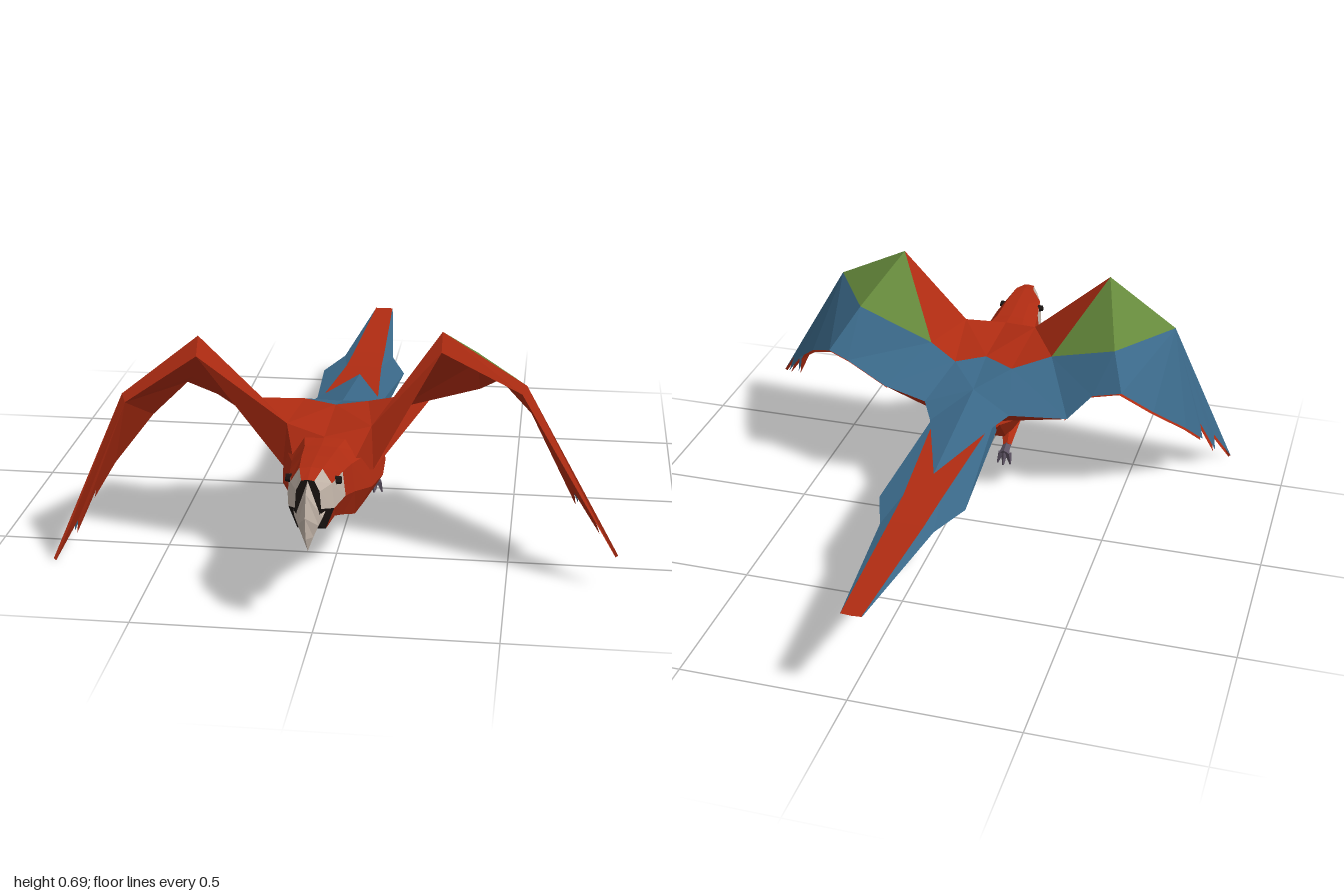
import * as THREE from 'three';

const RED = 0xb02c12, BLUE = 0x3a6888, GREEN = 0x668a3c, CREAM = 0xc4b6aa, BLACK = 0x1a1412, GREY = 0x5c5262;
const CX = -0.017; // centre line of the body

// Flat-shaded mesh from polygons, each a loop of [x, y, z] corners
function panels(name, color, polys, side = THREE.DoubleSide) {
  const pos = [];
  for (const p of polys)
    for (let i = 1; i < p.length - 1; i++) pos.push(...p[0], ...p[i], ...p[i + 1]);
  const g = new THREE.BufferGeometry();
  g.setAttribute('position', new THREE.Float32BufferAttribute(pos, 3));
  g.computeVertexNormals();
  const m = new THREE.Mesh(g, new THREE.MeshStandardMaterial({ color, flatShading: true, side }));
  m.name = name;
  return m;
}

// Tapered rod between two points
function rod(name, color, a, b, ra, rb, sides = 5) {
  const A = new THREE.Vector3(...a), B = new THREE.Vector3(...b), d = B.clone().sub(A);
  const m = new THREE.Mesh(
    new THREE.CylinderGeometry(rb, ra, d.length(), sides),
    new THREE.MeshStandardMaterial({ color, flatShading: true }));
  m.position.copy(A).addScaledVector(d, 0.5);
  m.quaternion.setFromUnitVectors(new THREE.Vector3(0, 1, 0), d.normalize());
  m.name = name;
  return m;
}

const shift = (p, x, y, z) => [p[0] + x, p[1] + y, p[2] + z];

function makeBody() {
  const g = new THREE.Group();
  g.name = 'body';
  // z, top, bottom, half width, from the face back to the rump
  const rings = [
    [0.94, 0.415, 0.29, 0.035], [0.88, 0.427, 0.25, 0.062], [0.78, 0.42, 0.245, 0.08],
    [0.68, 0.41, 0.205, 0.093], [0.57, 0.408, 0.16, 0.128], [0.45, 0.40, 0.145, 0.147],
    [0.31, 0.375, 0.145, 0.14], [0.17, 0.34, 0.225, 0.1], [0.02, 0.3, 0.25, 0.06]];
  const half = [[0, 1], [0.5, 0.98], [0.9, 0.75], [1, 0.35], [0.62, 0]];
  const profile = [...half, ...half.slice(1).reverse().map(([u, v]) => [-u, v])];
  const n = profile.length;
  const pts = rings.map(([z, t, b, w]) => profile.map(([u, v]) => [CX + u * w, b + v * (t - b), z]));
  const red = [], cream = [], black = [[...pts[0]].reverse()];
  for (let i = 0; i < rings.length - 1; i++)
    for (let j = 0; j < n; j++) {
      const k = (j + 1) % n, s = Math.min(j, n - 1 - j); // s counts faces down from the crown
      const face = [pts[i][j], pts[i][k], pts[i + 1][k], pts[i + 1][j]];
      const list = i < 2 && s === 2 || i === 0 && s === 1 ? cream : i === 0 && s >= 3 ? black : red;
      list.push(face);
    }
  g.add(panels('plumage', RED, red, THREE.FrontSide), panels('cheeks', CREAM, cream, THREE.FrontSide),
    panels('lowerBill', BLACK, black));
  // Eyes
  for (const s of [-1, 1]) {
    const eye = rod('eye', BLACK, [CX + s * 0.058, 0.375, 0.838], [CX + s * 0.076, 0.377, 0.84], 0.012, 0.01, 6);
    g.add(eye);
  }
  return g;
}

// Hooked upper beak: ridge and lower edge as [z, y], with half widths
function makeBeak() {
  const ridge = [[0.935, 0.415], [0.978, 0.39], [0.998, 0.33], [0.988, 0.265], [0.95, 0.215]];
  const edge = [[0.915, 0.32], [0.93, 0.305], [0.94, 0.285], [0.947, 0.255], [0.95, 0.215]];
  const w = [0.044, 0.038, 0.028, 0.015, 0], polys = [];
  for (let i = 0; i < 4; i++) {
    const at = (c, k, x) => [CX + x, c[k][1], c[k][0]];
    for (const s of [-1, 1])
      polys.push([at(ridge, i, 0), at(ridge, i + 1, 0), at(edge, i + 1, s * w[i + 1]), at(edge, i, s * w[i])]);
    polys.push([at(edge, i, -w[i]), at(edge, i, w[i]), at(edge, i + 1, w[i + 1]), at(edge, i + 1, -w[i + 1])]);
  }
  return panels('beak', CREAM, polys);
}

// Corners of each wing: leading edge (L, E, W, T), coverts (M), trailing edge (t), feather ends
const leftWing = {
  L: [0.11, 0.43, 0.57], E: [0.3, 0.69, 0.49], W: [0.54, 0.56, 0.545],
  M0: [0.07, 0.405, 0.3], M1: [0.165, 0.44, 0.345], M2: [0.39, 0.565, 0.29],
  t0: [0.125, 0.33, 0.14], t1: [0.255, 0.375, 0.125], t2: [0.4, 0.42, 0.18],
  ends: [[0.46, 0.45, 0.175], [0.56, 0.385, 0.285], [0.655, 0.29, 0.4], [0.695, 0.19, 0.485],
    [0.69, 0.24, 0.52], [0.765, 0.14, 0.57], [0.75, 0.19, 0.585], [0.81, 0.105, 0.645]],
};
const rightWing = {
  L: [-0.13, 0.43, 0.575], E: [-0.387, 0.665, 0.53], W: [-0.605, 0.495, 0.565],
  M0: [-0.12, 0.405, 0.3], M1: [-0.235, 0.43, 0.375], M2: [-0.45, 0.5, 0.33],
  t0: [-0.155, 0.32, 0.14], t1: [-0.335, 0.315, 0.18], t2: [-0.405, 0.385, 0.225],
  ends: [[-0.5, 0.415, 0.21], [-0.595, 0.33, 0.275], [-0.685, 0.22, 0.4], [-0.73, 0.14, 0.49],
    [-0.715, 0.18, 0.52], [-0.765, 0.06, 0.57], [-0.755, 0.11, 0.585], [-0.81, 0.005, 0.645]],
};

function makeWing(name, p, s) {
  const { L, E, W, M0, M1, M2, t0, t1, t2, ends } = p, tip = ends[ends.length - 1];
  const fan = (hub, rim) => rim.slice(1).map((q, i) => [hub, rim[i], q]);
  const g = new THREE.Group();
  g.name = name;
  // Upper side
  g.add(panels('shoulderFeathers', RED, [[L, E, M1], [L, M1, M0]]));
  g.add(panels('covertPatch', GREEN, [[E, W, M2], [E, M2, M1]]));
  g.add(panels('flightFeathers', BLUE, [[M0, M1, t1], [M0, t1, t0], [M1, M2, t2, t1], [M2, ends[0], t2],
    ...fan(W, [M2, ...ends])]));
  // Lower side and rounded leading edge
  const low = q => shift(q, -s * 0.007, -0.006, 0);
  const l = [CX + s * 0.13, 0.29, 0.55], e = shift(E, 0, -0.05, 0.035), w = shift(W, -s * 0.012, -0.02, 0.018);
  const m1 = shift(M1, 0, -0.035, 0), m2 = shift(M2, 0, -0.03, 0), r = [CX + s * 0.1, 0.28, 0.17];
  g.add(panels('wingLining', RED, [[l, e, m1], [l, m1, t1, r], [r, t1, t0], [e, w, m2], [e, m2, m1],
    [m1, m2, low(t2), low(t1)], [m2, low(ends[0]), low(t2)], ...fan(w, [m2, ...ends.map(low)])]));
  g.add(panels('leadingEdge', RED, [[L, E, e], [L, e, l], [E, W, w, e], [W, tip, low(tip), w],
    [L, l, [CX + s * 0.08, 0.34, 0.66]]]));
  return g;
}

// Back between the wing roots, running into the tail
function makeBack() {
  const A = leftWing, B = rightWing;
  const neck = [CX, 0.412, 0.62], mid = [-0.02, 0.41, 0.355], rump = [-0.02, 0.365, 0.2];
  const g = new THREE.Group();
  g.name = 'back';
  g.add(panels('mantle', RED, [[neck, A.L, mid], [A.L, A.M0, mid], [neck, mid, B.L], [B.L, mid, B.M0],
    ...[[A, 1], [B, -1]].map(([q, s]) => [neck, q.L, [CX + s * 0.08, 0.34, 0.66]])]));
  const rim = [mid, A.M0, A.t0, [0.08, 0.315, 0.05], [-0.02, 0.297, -0.24], [-0.12, 0.315, 0.05], B.t0, B.M0];
  g.add(panels('rump', BLUE, rim.map((q, i) => [rump, q, rim[(i + 1) % rim.length]])));
  return g;
}

function makeTail() {
  // z, red half width, full half width, top, side and bottom heights
  const rows = [[0.12, 0.095, 0.1, 0.315, 0.27, 0.245], [-0.36, 0.058, 0.134, 0.283, 0.262, 0.25],
    [-0.51, 0.052, 0.082, 0.28, 0.266, 0.256], [-1, 0.03, 0.031, 0.288, 0.286, 0.284]];
  const top = [], sides = [], under = [];
  for (let i = 0; i < rows.length - 1; i++) {
    const a = rows[i], b = rows[i + 1];
    const pt = (r, x, k) => [-0.02 + x, r[k], r[0]];
    top.push([pt(a, -a[1], 3), pt(a, a[1], 3), pt(b, b[1], 3), pt(b, -b[1], 3)]);
    for (const s of [-1, 1]) {
      sides.push([pt(a, s * a[1], 3), pt(a, s * a[2], 4), pt(b, s * b[2], 4), pt(b, s * b[1], 3)]);
      (i ? under : sides).push([pt(a, s * a[2], 4), pt(a, 0, 5), pt(b, 0, 5), pt(b, s * b[2], 4)]);
    }
  }
  const g = new THREE.Group();
  g.name = 'tail';
  g.add(panels('tailTop', RED, top), panels('tailSides', BLUE, sides), panels('tailUnderside', RED, under));
  return g;
}

// Folded leg with clenched toes
function makeLeg(s) {
  const x = CX + s * 0.1, g = new THREE.Group();
  g.name = s > 0 ? 'leftLeg' : 'rightLeg';
  g.add(rod('thigh', RED, [x - s * 0.02, 0.2, 0.42], [x, 0.135, 0.27], 0.045, 0.014));
  g.add(rod('foot', GREY, [x, 0.14, 0.285], [x, 0.122, 0.235], 0.013, 0.017));
  for (const k of [-1, 0, 1])
    g.add(rod('toe', GREY, [x + k * 0.012, 0.125, 0.24], [x + k * 0.022, 0.088, 0.222 + 0.012 * Math.abs(k)], 0.011, 0.003, 4));
  g.add(rod('hindToe', GREY, [x, 0.125, 0.245], [x, 0.095, 0.26], 0.01, 0.003, 4));
  return g;
}

export function createModel() {
  const model = new THREE.Group();
  model.name = 'parrot';
  model.add(makeBody(), makeBeak(), makeBack(), makeTail());
  model.add(makeWing('leftWing', leftWing, 1), makeWing('rightWing', rightWing, -1));
  model.add(makeLeg(1), makeLeg(-1));
  return model;
}
